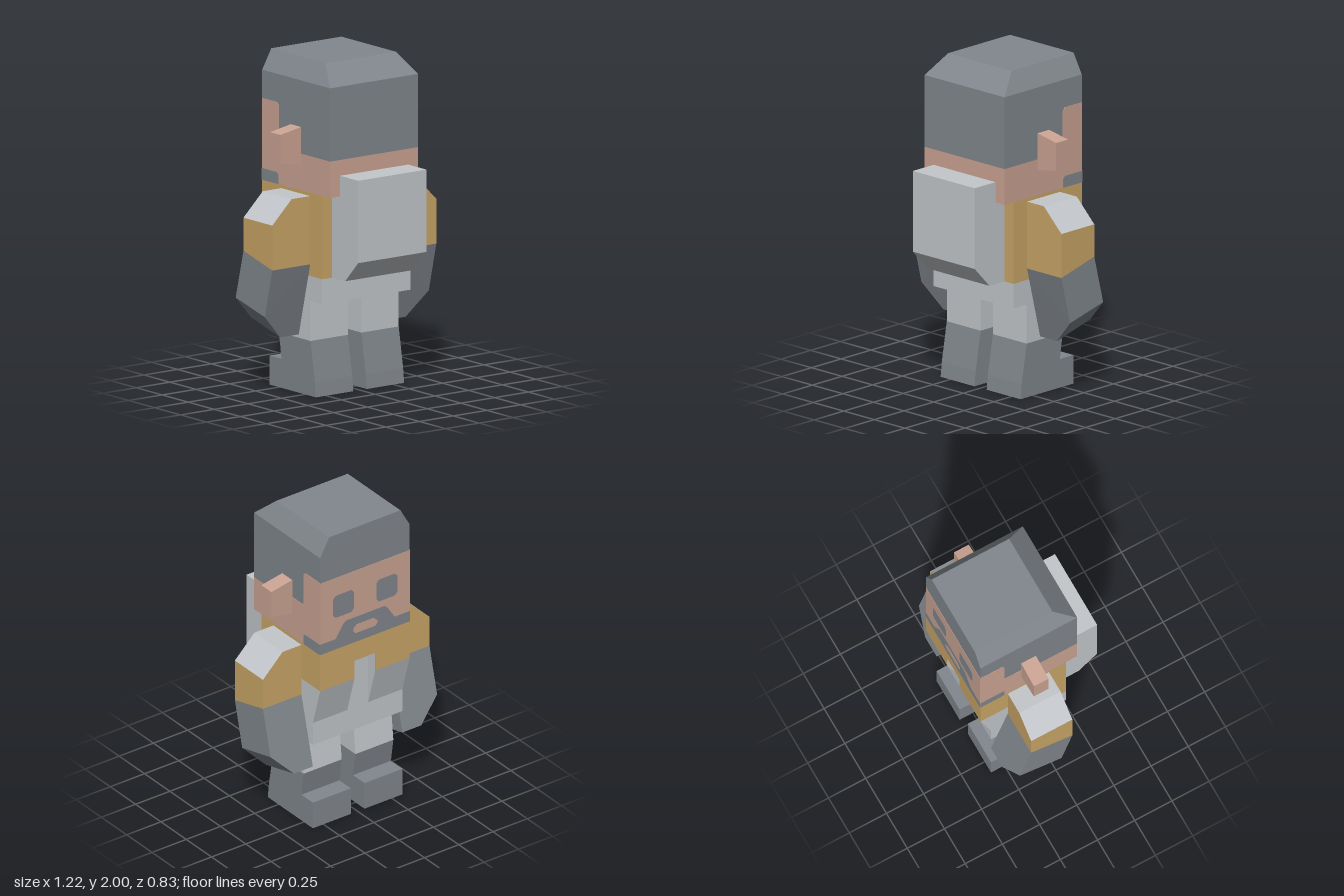
import * as THREE from 'three';
import { ConvexGeometry } from 'three/addons/geometries/ConvexGeometry.js';

const material = (name, color) => {
  const m = new THREE.MeshStandardMaterial({ color });
  m.name = name;
  return m;
};

export function createModel() {
  const grey = material('slate grey', 0x81878d);
  const light = material('light grey', 0xc3c7cb);
  const yellow = material('mustard', 0xc9a566);
  const skin = material('skin', 0xcba493);

  const model = new THREE.Group();
  model.name = 'backpacker';

  const add = (name, geometry, mat) => {
    const mesh = new THREE.Mesh(geometry, mat);
    mesh.name = name;
    model.add(mesh);
    return mesh;
  };
  const box = (name, mat, x0, x1, y0, y1, z0, z1) => {
    const g = new THREE.BoxGeometry(Math.abs(x1 - x0), y1 - y0, Math.abs(z1 - z0));
    g.translate((x0 + x1) / 2, (y0 + y1) / 2, (z0 + z1) / 2);
    return add(name, g, mat);
  };
  const hull = (points, s = 1) =>
    new ConvexGeometry(points.map(([x, y, z]) => new THREE.Vector3(x * s, y, z)));
  const extrude = (points, depth) => new THREE.ExtrudeGeometry(
    new THREE.Shape(points.map(p => new THREE.Vector2(...p))), { depth, bevelEnabled: false });
  // Side profile of [z, y] points, swept from x0 to x1
  const sweep = (name, mat, profile, x0, x1) => {
    const g = extrude(profile, Math.abs(x1 - x0));
    g.rotateY(-Math.PI / 2);
    g.translate(Math.max(x0, x1), 0, 0);
    return add(name, g, mat);
  };
  // Thin plate of [x, y] points on the face
  const facePlate = (name, mat, points, z) => {
    const g = extrude(points, 0.003);
    g.translate(0, 0, z);
    return add(name, g, mat);
  };

  const W = 0.327, F = -0.411;

  // Head
  box('jaw', skin, -W, W, 1.22, 1.44, F, 0.24);
  box('hair', grey, -W, W, 1.44, 1.88, F, 0.24);
  const cap = [];
  for (const s of [-1, 1]) {
    cap.push([s * W, 1.88, F], [s * W, 1.88, 0.24], [s * 0.26, 2, F], [s * 0.26, 2, 0.11]);
  }
  add('hairTop', hull(cap), grey);

  // Face
  box('face', skin, -W, W, 1.22, 1.705, F - 0.002, F + 0.004);
  for (const s of [-1, 1]) {
    const eye = [[0.1, 1.435], [0.215, 1.435], [0.235, 1.455], [0.235, 1.565],
      [0.215, 1.585], [0.1, 1.585], [0.083, 1.565], [0.083, 1.455]];
    facePlate('eye', grey, eye.map(([x, y]) => [x * s, y]), F - 0.004);
  }
  facePlate('beard', grey, [[-W, 1.22], [W, 1.22], [W, 1.29], [0.215, 1.29], [0.16, 1.375],
    [0.14, 1.39], [-0.14, 1.39], [-0.16, 1.375], [-0.215, 1.29], [-W, 1.29]], F - 0.004);
  facePlate('mouth', skin, [[-0.07, 1.28], [0.07, 1.28], [0.087, 1.295], [0.087, 1.315],
    [0.06, 1.337], [-0.06, 1.337], [-0.087, 1.315], [-0.087, 1.295]], F - 0.0055);

  // Torso
  box('jacketBack', yellow, -W, W, 0.72, 1.22, -0.1, 0.165);
  box('jacketChest', yellow, -W, W, 0.97, 1.22, -0.34, -0.1);
  box('collar', yellow, -0.076, 0.076, 1.09, 1.22, F, -0.34);
  sweep('shirt', light, [[0.165, 0.57], [-0.34, 0.57], [-0.34, 0.97], [-0.1, 0.97],
    [-0.1, 0.72], [0.165, 0.72]], -W, W);
  box('shirtOpening', light, -0.076, 0.076, 0.97, 1.09, -0.343, -0.34);
  box('openingTop', light, -0.076, 0.076, 1.086, 1.09, F + 0.001, -0.34);

  // Backpack
  sweep('backpack', light, [[0.165, 0.72], [0.29, 0.72], [0.415, 0.85], [0.415, 1.345],
    [0.165, 1.345]], -0.253, 0.253);

  for (const s of [-1, 1]) {
    // Bare cheek, sideburn edge and beard on the side of the head
    sweep('cheek', skin, [[F, 1.22], [F, 1.71], [-0.265, 1.71], [-0.25, 1.69], [-0.25, 1.5],
      [-0.235, 1.485], [-0.13, 1.485], [-0.13, 1.44], [-0.13, 1.22]], s * (W - 0.002), s * (W + 0.002));
    sweep('sideBeard', grey, [[F, 1.22], [F, 1.29], [-0.265, 1.29], [-0.252, 1.278],
      [-0.252, 1.22]], s * W, s * (W + 0.004));

    // Ear
    const ear = [];
    for (const z of [-0.137, -0.038]) {
      ear.push([W, 1.375, z], [W, 1.6, z], [0.48, 1.4, z], [0.48, 1.572, z]);
    }
    add('ear', hull(ear, s), skin);

    // Jacket front with slanted shirt flap below
    sweep('jacketFront', yellow, [[-0.34, 0.97], [F, 0.97], [F, 1.22], [-0.34, 1.22]], s * 0.076, s * W);
    sweep('shirtFlap', light, [[-0.34, 0.97], [F, 0.97], [-0.34, 0.72]], s * 0.076, s * W);
    box('openingSide', light, s * 0.073, s * 0.076, 0.97, 1.09, F + 0.001, -0.34);

    // Upper arm: sleeve with light shoulder faces
    const upper = [];
    for (const [z, y] of [[0.05, 0.79], [-0.227, 0.862]]) {
      upper.push([W, y, z], [0.608, y, z], [0.608, 1.06, z], [0.465, 1.2, z], [W, 1.2, z]);
    }
    const sleeve = hull(upper, s);
    const normal = sleeve.attributes.normal;
    for (let i = 0; i < normal.count; i += 3) {
      sleeve.addGroup(i, 3, normal.getY(i) > 0.5 ? 1 : 0);
    }
    add('sleeve', sleeve, [yellow, light]);

    // Forearm with bevelled end
    const fore = [];
    for (const [top, mid, end] of [
      [[0.79, 0.05], [0.497, -0.022], [0.35, -0.06]],
      [[0.862, -0.227], [0.567, -0.302], [0.423, -0.34]]]) {
      fore.push([W, ...top], [0.608, ...top], [0.608, ...mid], [0.465, ...end], [W, ...end]);
    }
    add('forearm', hull(fore, s), grey);

    // Leg and boot
    sweep('trouserLeg', light, [[0.053, 0.33], [0.053, 0.57], [-0.225, 0.57], [-0.25, 0.33]],
      s * 0.05, s * W);
    sweep('boot', grey, [[0.105, 0], [0.095, 0.09], [0.053, 0.33], [-0.25, 0.33],
      [-0.226, 0.175], [-0.34, 0.175], [-0.34, 0]], s * 0.05, s * W);
  }
  return model;
}
